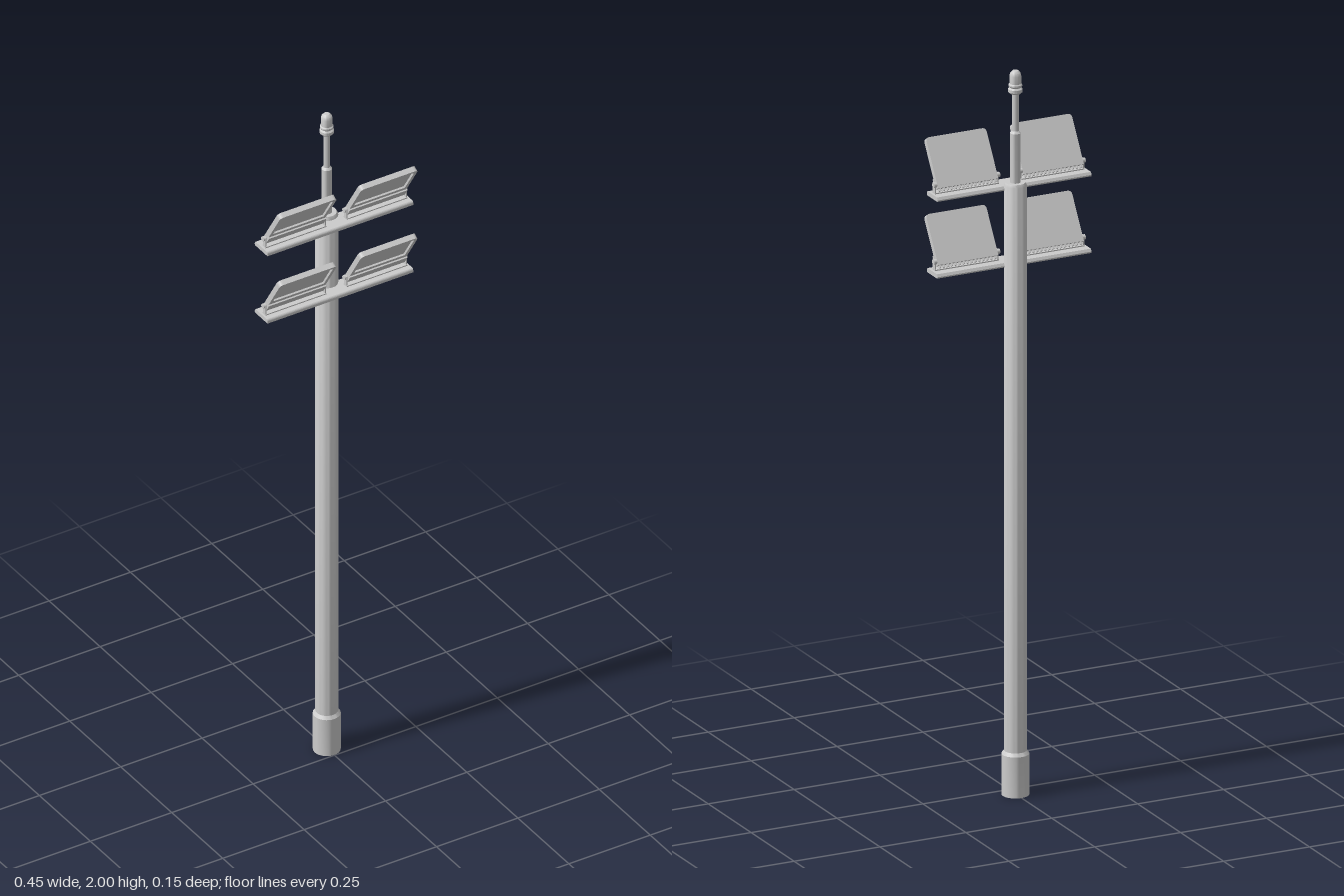
import * as THREE from 'three';
import { toCreasedNormals } from 'three/addons/utils/BufferGeometryUtils.js';

const material = new THREE.MeshStandardMaterial({ color: 0xcccccc });
const POLE_Z = -0.038;

function add(parent, name, geometry, x = 0, y = 0, z = 0) {
  const mesh = new THREE.Mesh(geometry, material);
  mesh.name = name;
  mesh.position.set(x, y, z);
  parent.add(mesh);
  return mesh;
}

function turned(profile, segments = 32) {
  const points = profile.map(([r, y]) => new THREE.Vector2(r, y));
  return toCreasedNormals(new THREE.LatheGeometry(points, segments), 0.6);
}

// Outline from y0 to y1 with rounded upper corners
function panelOutline(w, y0, y1, r) {
  const s = new THREE.Shape();
  s.moveTo(-w, y0);
  s.lineTo(w, y0);
  s.lineTo(w, y1 - r);
  s.quadraticCurveTo(w, y1, w - r, y1);
  s.lineTo(-w + r, y1);
  s.quadraticCurveTo(-w, y1, -w, y1 - r);
  s.closePath();
  return s;
}

function slab(shape, depth) {
  return new THREE.ExtrudeGeometry(shape, { depth, bevelEnabled: false, curveSegments: 6 });
}

// Floodlight leaning forward; origin at the lower back edge
function floodlight() {
  const light = new THREE.Group();
  light.name = 'floodlight';

  const head = new THREE.Group();
  head.name = 'lampHead';
  head.rotation.x = THREE.MathUtils.degToRad(32);
  light.add(head);

  add(head, 'lampBack', slab(panelOutline(0.0875, 0, 0.138, 0.012), 0.009));
  const rim = panelOutline(0.0875, 0, 0.138, 0.012);
  rim.holes.push(panelOutline(0.078, 0.043, 0.129, 0.006));
  add(head, 'lampRim', slab(rim, 0.006), 0, 0, 0.009);
  add(head, 'lampGlass', new THREE.BoxGeometry(0.15, 0.08, 0.002), 0, 0.086, 0.01);
  add(head, 'lowerHousing', new THREE.BoxGeometry(0.177, 0.026, 0.008), 0, 0.016, 0.015);

  // Row of cooling fins under the housing
  for (let i = 0; i < 15; i++) {
    add(head, 'coolingFin', new THREE.BoxGeometry(0.004, 0.008, 0.012), (i - 7) * 0.0115, -0.003, 0.008);
  }

  // Yoke with pivot bolts
  add(light, 'yokeBase', new THREE.BoxGeometry(0.186, 0.003, 0.016), 0, -0.0165, 0.015);
  for (const side of [-1, 1]) {
    add(light, 'yokeArm', new THREE.BoxGeometry(0.003, 0.03, 0.012), side * 0.0915, -0.003, 0.015);
    const bolt = add(light, 'pivotBolt', new THREE.CylinderGeometry(0.007, 0.007, 0.009, 12), side * 0.0915, 0.006, 0.012);
    bolt.rotation.z = Math.PI / 2;
  }
  return light;
}

// Cross plate with rounded long edges, carrying two floodlights
function lightBar(y) {
  const bar = new THREE.Group();
  bar.name = 'lightBar';
  bar.position.y = y;

  const section = new THREE.Shape();
  section.moveTo(-0.029, 0);
  section.lineTo(0.030, 0);
  section.quadraticCurveTo(0.034, 0, 0.034, 0.005);
  section.lineTo(0.030, 0.012);
  section.lineTo(-0.025, 0.012);
  section.quadraticCurveTo(-0.029, 0.010, -0.029, 0.005);
  section.closePath();
  const plate = new THREE.ExtrudeGeometry(section, { depth: 0.448, bevelEnabled: false, curveSegments: 4 });
  plate.translate(0, 0, -0.224);
  plate.rotateY(Math.PI / 2);
  add(bar, 'crossPlate', plate);

  for (const side of [-1, 1]) {
    const light = floodlight();
    light.position.set(side * 0.1245, 0.030, -0.013);
    bar.add(light);
  }
  return bar;
}

export function createModel() {
  const model = new THREE.Group();
  model.name = 'floodlightMast';

  // Mast with a thicker foot sleeve
  add(model, 'footSleeve', turned([[0, 0], [0.0366, 0], [0.0366, 0.113], [0.030, 0.122]]), 0, 0, POLE_Z);
  add(model, 'pole', turned([[0.030, 0.1], [0.030, 1.682], [0.026, 1.69], [0, 1.69]]), 0, 0, POLE_Z);

  // Stepped spire with collars and a domed beacon
  add(model, 'spire', turned([
    [0.014, 1.685], [0.014, 1.826], [0.009, 1.832], [0.009, 1.935], [0.014, 1.938],
  ], 24), 0, 0, POLE_Z);
  add(model, 'beacon', turned([
    [0, 1.934], [0.014, 1.935], [0.019, 1.940], [0.019, 1.948], [0.015, 1.952],
    [0.018, 1.956], [0.018, 1.960], [0.0155, 1.963], [0.0155, 1.984], [0.0135, 1.992],
    [0.008, 1.998], [0, 2.0],
  ], 24), 0, 0, POLE_Z);

  for (const y of [1.456, 1.668]) model.add(lightBar(y));
  return model;
}
